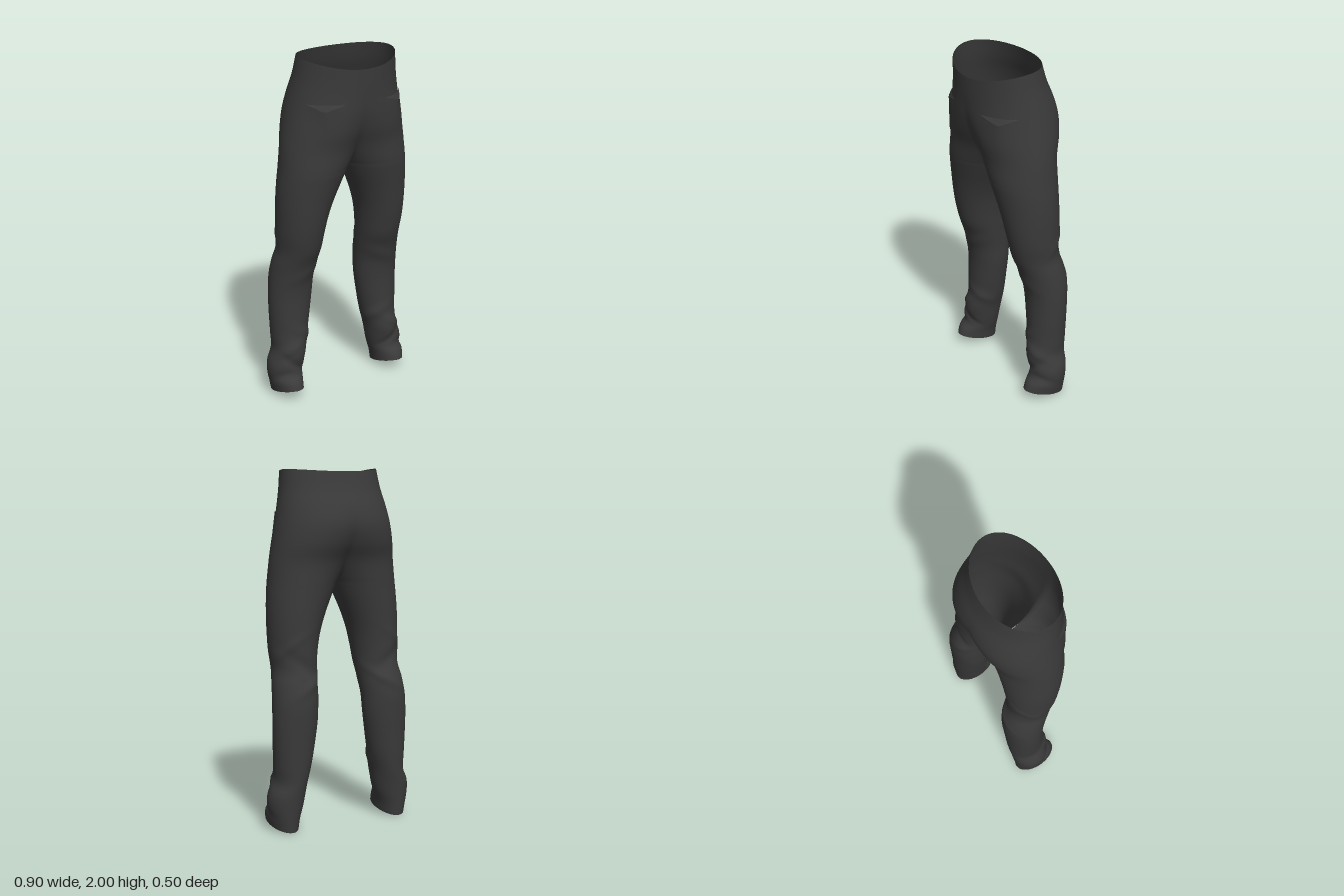
import * as THREE from 'three';
import { mergeVertices } from 'three/addons/utils/BufferGeometryUtils.js';

// Half-garment sections: height, inner x, outer x, front z, back z.
// A negative inner x means the oval is cut at the centre seam (above the crotch).
const SECTIONS = [
  [0.00, 0.275, 0.435, 0.085, -0.170],
  [0.06, 0.268, 0.445, 0.068, -0.175],
  [0.13, 0.253, 0.452, 0.036, -0.181],
  [0.20, 0.240, 0.448, 0.036, -0.187],
  [0.27, 0.229, 0.418, 0.040, -0.193],
  [0.36, 0.208, 0.418, 0.024, -0.199],
  [0.50, 0.183, 0.424, 0.020, -0.205],
  [0.62, 0.167, 0.425, 0.023, -0.211],
  [0.72, 0.162, 0.420, 0.038, -0.213],
  [0.82, 0.153, 0.409, 0.068, -0.198],
  [0.90, 0.145, 0.396, 0.100, -0.175],
  [1.00, 0.133, 0.403, 0.125, -0.170],
  [1.10, 0.113, 0.405, 0.144, -0.172],
  [1.20, 0.078, 0.405, 0.160, -0.176],
  [1.30, 0.033, 0.400, 0.178, -0.180],
  [1.37, 0.000, 0.393, 0.190, -0.184],
  [1.50, -0.085, 0.380, 0.200, -0.198],
  [1.60, -0.160, 0.364, 0.222, -0.235],
  [1.70, -0.235, 0.345, 0.236, -0.252],
  [1.80, -0.290, 0.325, 0.242, -0.236],
  [1.90, -0.303, 0.305, 0.246, -0.200],
  [2.00, -0.292, 0.292, 0.248, -0.170],
];
const profile = new THREE.CubicInterpolant(
  SECTIONS.map((s) => s[0]), SECTIONS.flatMap((s) => s.slice(1)), 4);

// Cloth folds: height, slope around the leg, facing angle, spread, thickness, depth
const FOLDS = [
  [0.29, 0.05, 0.9, 0.9, 0.025, 0.012],
  [0.20, -0.06, 1.6, 0.8, 0.022, -0.012],
  [0.37, -0.05, 2.3, 0.8, 0.030, 0.009],
  [0.12, 0.05, 0.6, 0.8, 0.022, -0.008],
  [0.92, 0.09, -1.6, 0.9, 0.035, -0.010],
  [0.82, -0.07, -1.9, 0.8, 0.030, 0.008],
  [0.76, 0.05, 1.8, 0.8, 0.035, 0.006],
  [1.02, -0.10, -0.8, 0.7, 0.030, 0.006],
];

function section(y) {
  const [xi, xo, zf, zb] = profile.evaluate(y);
  return { cx: (xi + xo) / 2, rx: (xo - xi) / 2, cz: (zf + zb) / 2, rz: (zf - zb) / 2 };
}

// Point on the cloth: angle 0 is the outer side, +90 degrees the front
function clothPoint(y, a, offset = 0) {
  const { cx, rx, cz, rz } = section(y);
  let d = offset;
  for (const [fy, slope, fa, spread, thick, depth] of FOLDS) {
    const da = a - fa, dy = y - fy - slope * da;
    d += depth * Math.exp(-((da / spread) ** 2) - (dy / thick) ** 2);
  }
  const x = cx + (rx + d) * Math.cos(a);
  const z = cz + (rz + d) * Math.sin(a);
  // Waist dips at the front; hem rises at the front
  const waist = THREE.MathUtils.smoothstep(y, 1.72, 2);
  const hem = 1 - THREE.MathUtils.smoothstep(y, 0, 0.2);
  const dip = z > 0 ? 0.058 * (z / 0.25) ** 2 : 0.012 * (z / 0.17) ** 2;
  const lift = 0.065 * THREE.MathUtils.clamp((z + 0.17) / 0.25, 0, 1);
  return [Math.abs(x) < 1e-6 ? 0 : x, y - dip * waist + lift * hem, z];
}

// Grid surfaces from point(i, j), mirrored to both sides and welded
function mirroredGrid(rows, cols, point) {
  const pos = [], index = [];
  for (const side of [1, -1]) {
    const base = pos.length / 3;
    for (let i = 0; i <= rows; i++) {
      for (let j = 0; j <= cols; j++) {
        const [x, y, z] = point(i / rows, j / cols);
        pos.push(side * x, y, z);
      }
    }
    for (let i = 0; i < rows; i++) {
      for (let j = 0; j < cols; j++) {
        const a = base + i * (cols + 1) + j, b = a + 1, c = a + cols + 1, d = c + 1;
        if (side > 0) index.push(a, c, b, b, c, d);
        else index.push(a, b, c, b, d, c);
      }
    }
  }
  const raw = new THREE.BufferGeometry();
  raw.setAttribute('position', new THREE.Float32BufferAttribute(pos, 3));
  raw.setIndex(index);
  const geometry = mergeVertices(raw, 1e-5);
  geometry.computeVertexNormals();
  return geometry;
}

// Point on the front at a given x, standing slightly off the cloth
function frontPoint(x, y, offset) {
  const { cx, rx } = section(y);
  return clothPoint(y, Math.acos(THREE.MathUtils.clamp((x - cx) / rx, -1, 1)), offset);
}

export function createModel() {
  const group = new THREE.Group();
  group.name = 'trousers';
  const cloth = new THREE.MeshStandardMaterial({ color: 0x3a3a3a, side: THREE.DoubleSide });
  cloth.name = 'charcoal cloth';

  const add = (name, geometry) => {
    const mesh = new THREE.Mesh(geometry, cloth);
    mesh.name = name;
    group.add(mesh);
  };

  // Seat and both legs as one continuous tube, open at waist and hems
  add('trouserBody', mirroredGrid(110, 48, (v, u) => {
    const y = 2 * (1 - v);
    const { cx, rx } = section(y);
    const end = cx < rx - 1e-6 ? Math.acos(-cx / rx) : Math.PI;
    const a = end * (1 - 2 * u);
    const p = clothPoint(y, a);
    if (u === 0 || u === 1) {
      // Seam ends meet exactly
      const q = clothPoint(y, end);
      p[0] = end < Math.PI ? 0 : q[0];
      if (end === Math.PI) { p[1] = q[1]; p[2] = q[2]; }
    }
    return p;
  }));

  // Front patch pockets with a sagging mouth
  const inner = 0.13, outer = 0.30, top = 1.765;
  const sag = (u) => (u < 0.6 ? u / 0.6 : (1 - u) / 0.4);
  add('frontPockets', mirroredGrid(12, 16, (v, u) => {
    const mouth = top - 0.038 * sag(u);
    const bottom = 1.53 + 0.025 * Math.abs(2 * u - 1) ** 6;
    const bulge = 0.005 + 0.012 * sag(u) * (1 - v) ** 2;
    return frontPoint(inner + (outer - inner) * u, mouth + (bottom - mouth) * v, bulge);
  }));

  // Upward-facing pocket openings
  add('pocketMouths', mirroredGrid(2, 16, (v, u) => frontPoint(
    inner + (outer - inner) * u, top - 0.038 * sag(u) * v, 0.003 + (0.002 + 0.012 * sag(u)) * v)));

  return group;
}
